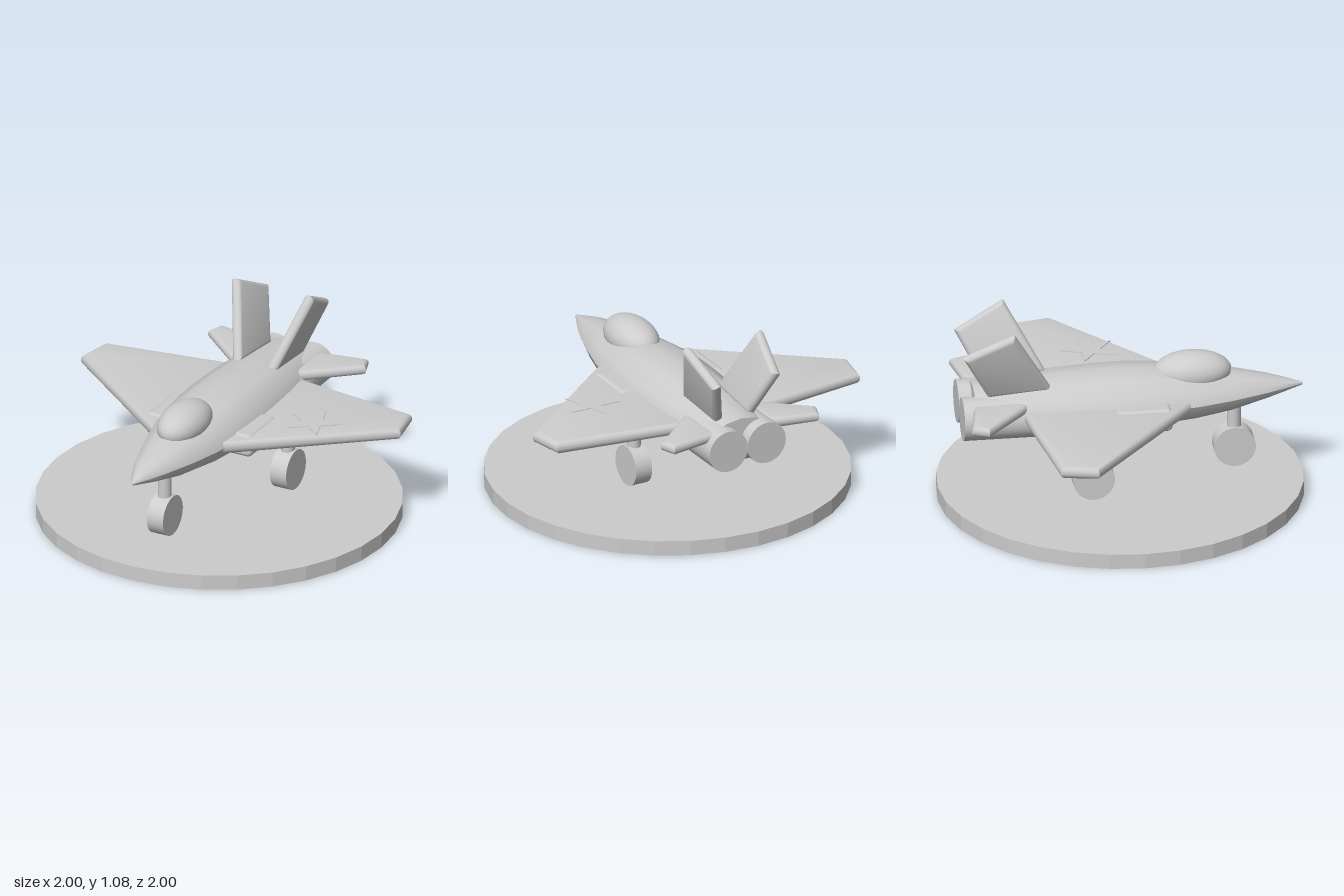
import * as THREE from 'three';
import { toCreasedNormals } from 'three/addons/utils/BufferGeometryUtils.js';
import { RoundedBoxGeometry } from 'three/addons/geometries/RoundedBoxGeometry.js';

export function createModel() {
  const model = new THREE.Group();
  model.name = 'jetOnStand';
  const grey = new THREE.MeshStandardMaterial({ color: 0xcccccc });
  grey.name = 'lightGrey';

  const add = (name, geometry, x = 0, y = 0, z = 0, parent = model) => {
    const mesh = new THREE.Mesh(geometry, grey);
    mesh.name = name;
    mesh.position.set(x, y, z);
    parent.add(mesh);
    return mesh;
  };

  // Flat plate with rounded rim; the outline is the full outer size
  const plate = (points, thickness) => {
    const r = thickness * 0.48;
    const shape = new THREE.Shape(points.map(p => new THREE.Vector2(...p)));
    const g = new THREE.ExtrudeGeometry(shape, {
      depth: thickness - 2 * r, bevelEnabled: true, bevelThickness: r,
      bevelSize: r, bevelOffset: -r, bevelSegments: 4,
    });
    g.translate(0, 0, -(thickness / 2 - r));
    return toCreasedNormals(g, 0.6);
  };
  // Lays a plate drawn as (x, z) flat
  const flatPlate = (points, thickness) =>
    plate(points.map(([x, z]) => [x, -z]), thickness).rotateX(-Math.PI / 2);

  // Round display base
  const base = new THREE.CylinderGeometry(1, 1, 0.085, 32).toNonIndexed();
  base.computeVertexNormals();
  add('displayBase', base, 0, 0.0425, 0);

  // Fuselage: rings of [z, half width, bottom, top]
  const stations = [
    [1.0, 0.006, 0.572, 0.588], [0.9, 0.056, 0.545, 0.617], [0.8, 0.1, 0.518, 0.643],
    [0.6, 0.165, 0.468, 0.683], [0.4, 0.217, 0.44, 0.708], [0.2, 0.245, 0.422, 0.729],
    [0.05, 0.256, 0.412, 0.74], [-0.15, 0.257, 0.415, 0.736], [-0.4, 0.245, 0.43, 0.722],
    [-0.6, 0.22, 0.45, 0.705], [-0.81, 0.18, 0.48, 0.685],
  ];
  const sides = 12, positions = [], index = [];
  stations.forEach(([z, w, lo, hi]) => {
    for (let i = 0; i < sides; i++) {
      const a = (i / sides) * Math.PI * 2;
      positions.push(w * Math.cos(a), (lo + hi) / 2 + ((hi - lo) / 2) * Math.sin(a), z);
    }
  });
  for (let s = 0; s < stations.length - 1; s++) {
    for (let i = 0; i < sides; i++) {
      const a = s * sides + i, b = s * sides + (i + 1) % sides;
      index.push(a, a + sides, b, b, a + sides, b + sides);
    }
  }
  const last = (stations.length - 1) * sides;
  for (let i = 1; i < sides - 1; i++) {
    index.push(0, i, i + 1, last, last + i + 1, last + i);
  }
  const hull = new THREE.BufferGeometry();
  hull.setAttribute('position', new THREE.Float32BufferAttribute(positions, 3));
  hull.setIndex(index);
  add('fuselage', toCreasedNormals(hull, 0.7));

  // Canopy
  add('canopy', new THREE.SphereGeometry(1, 24, 16).scale(0.13, 0.11, 0.215), 0, 0.698, 0.395);

  // Mirrored parts: s = 1 is the model's left
  for (const s of [1, -1]) {
    const side = s > 0 ? 'left' : 'right';
    const mirror = points => (s > 0 ? points : points.map(([x, z]) => [-x, z]).reverse());

    add(side + 'Wing', flatPlate(mirror(
      [[0.2, 0.375], [0.985, -0.25], [0.945, -0.455], [0.2, -0.56]]), 0.07), 0, 0.57, 0);
    add(side + 'Tailplane', flatPlate(mirror(
      [[0.17, -0.51], [0.225, -0.55], [0.487, -0.78], [0.452, -0.875], [0.17, -0.825]]), 0.06), 0, 0.615, 0);

    // Fin drawn as (-z, y) from its root, then leaned outward
    const fin = plate([[0.395, -0.005], [0.74, -0.04], [0.885, 0.25], [0.61, 0.4]], 0.06);
    fin.rotateY(Math.PI / 2);
    add(side + 'Fin', fin, s * 0.108, 0.7, 0).rotation.z = -s * 0.32;

    const engine = new THREE.CylinderGeometry(0.119, 0.119, 0.42, 32).rotateX(Math.PI / 2);
    add(side + 'Engine', engine, s * 0.119, 0.541, -0.672);
    add(side + 'Intake', new RoundedBoxGeometry(0.16, 0.13, 0.31, 3, 0.03), s * 0.245, 0.549, 0.092);
  }

  // Landing gear: one nose leg and two main legs
  for (const [name, x, z] of [['nose', 0, 0.625], ['left', 0.32, -0.193], ['right', -0.32, -0.193]]) {
    add(name + 'Strut', new THREE.CylinderGeometry(0.038, 0.038, 0.16, 20), x, 0.405, z);
    add(name + 'Wheel', new THREE.CylinderGeometry(0.114, 0.114, 0.1, 32).rotateZ(Math.PI / 2), x, 0.243, z);
  }

  // Star plate on the left wing
  const star = new THREE.Shape();
  for (let i = 0; i < 10; i++) {
    const r = i % 2 ? 0.06 : 0.158, a = Math.PI / 2 + (i / 10) * Math.PI * 2;
    star[i ? 'lineTo' : 'moveTo'](r * Math.cos(a), r * Math.sin(a));
  }
  star.closePath();
  const starPlate = new THREE.ExtrudeGeometry(star, { depth: 0.006, bevelEnabled: false });
  add('wingStar', starPlate.rotateX(-Math.PI / 2), 0.527, 0.603, -0.093);

  return model;
}
